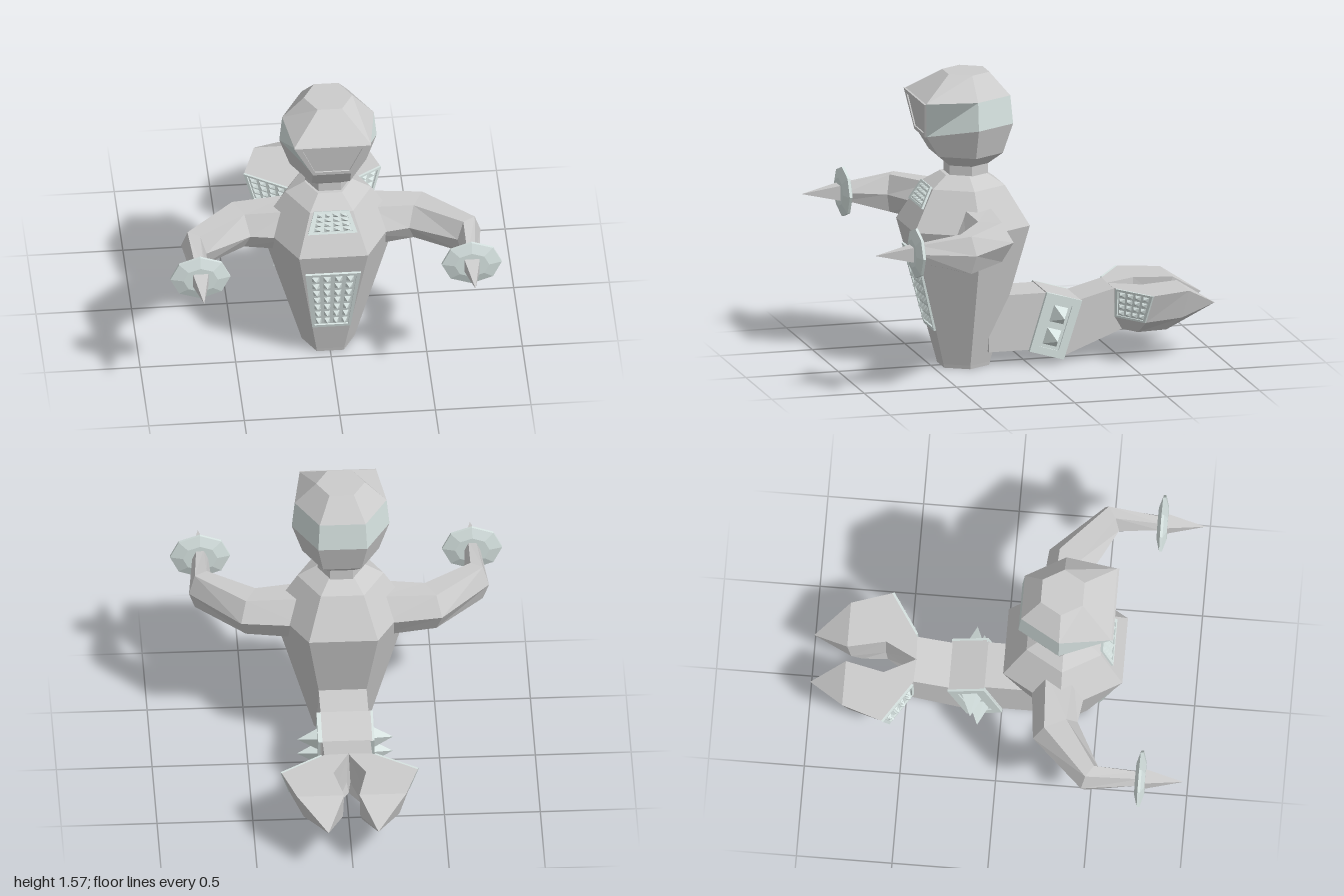
import * as THREE from 'three';

const V = (x, y, z) => new THREE.Vector3(x, y, z);
const grey = new THREE.MeshStandardMaterial({ color: 0xcccccc, flatShading: true });
const pale = new THREE.MeshStandardMaterial({ color: 0xd6e2e0, flatShading: true });

// Faceted geometry from a list of triangles, skipping collapsed ones
function fromTris(tris) {
  const pos = [];
  for (const t of tris) {
    if (new THREE.Triangle(...t).getArea() > 1e-7) t.forEach((p) => pos.push(p.x, p.y, p.z));
  }
  const g = new THREE.BufferGeometry();
  g.setAttribute('position', new THREE.Float32BufferAttribute(pos, 3));
  g.computeVertexNormals();
  return g;
}

// Skin over rings that run counter-clockwise as seen from the last ring
function loft(rings, caps) {
  const n = rings[0].length, tris = [];
  for (let r = 0; r < rings.length - 1; r++) {
    const a = rings[r], b = rings[r + 1];
    for (let i = 0; i < n; i++) {
      const j = (i + 1) % n;
      tris.push([a[i], a[j], b[j]], [a[i], b[j], b[i]]);
    }
  }
  caps = caps || Array.from({ length: n - 2 }, (_, i) => [0, i + 1, i + 2]);
  const first = rings[0], last = rings[rings.length - 1];
  for (const [i, j, k] of caps) tris.push([first[i], first[k], first[j]], [last[i], last[j], last[k]]);
  return fromTris(tris);
}

// Mirrored copy across x = 0 with the winding restored
function mirrored(geo) {
  const g = (geo.index ? geo.toNonIndexed() : geo.clone()), p = g.attributes.position;
  for (let i = 0; i < p.count; i += 3) {
    const t = [0, 2, 1].map((k) => [-p.getX(i + k), p.getY(i + k), p.getZ(i + k)]);
    t.forEach((q, k) => p.setXYZ(i + k, ...q));
  }
  g.computeVertexNormals();
  return g;
}

// Raised frame with a sunken floor and a grid of pyramids; corners bl, br, tr, tl
function studPanel(c, { cols = 0, rows = 0, inset = 0.08, insetV = inset, lift = 0.012, height = 0.02, size = 0.7 }) {
  const [bl, br, tr, tl] = c, tris = [];
  const n = br.clone().sub(bl).cross(tl.clone().sub(bl)).normalize();
  const at = (u, v, h) => bl.clone().lerp(br, u).lerp(tl.clone().lerp(tr, u), v).addScaledVector(n, h);
  const quad = (p, q, r, s) => tris.push([p, q, r], [p, r, s]);
  const rect = (u, v, h) => [at(u, v, h), at(1 - u, v, h), at(1 - u, 1 - v, h), at(u, 1 - v, h)];
  const floor = 0.003;
  const steps = [rect(0, 0, -0.01), rect(0, 0, lift), rect(inset, insetV, lift), rect(inset, insetV, floor)];
  for (let s = 0; s < 3; s++) {
    for (let i = 0; i < 4; i++) {
      const j = (i + 1) % 4;
      quad(steps[s][i], steps[s][j], steps[s + 1][j], steps[s + 1][i]);
    }
  }
  quad(...steps[3]);
  const du = (1 - 2 * inset) / cols, dv = (1 - 2 * insetV) / rows;
  for (let i = 0; i < cols; i++) {
    for (let j = 0; j < rows; j++) {
      const u = inset + (i + 0.5) * du, v = insetV + (j + 0.5) * dv;
      const a = du * size / 2, b = dv * size / 2, tip = at(u, v, height);
      const base = [at(u - a, v - b, floor), at(u + a, v - b, floor), at(u + a, v + b, floor), at(u - a, v + b, floor)];
      base.forEach((p, k) => tris.push([p, base[(k + 1) % 4], tip]));
    }
  }
  return fromTris(tris);
}

// Horizontal hexagon with flats to the front and back
const hex = (r, y, zc) => Array.from({ length: 6 }, (_, k) => {
  const t = Math.PI / 6 + k * Math.PI / 3;
  return V(r * Math.sin(t), y, zc + r * Math.cos(t));
});

// Upright hexagon across an arm, pointing along angle a in the xz plane
const armRing = (x, y, z, a, hw, hh) =>
  [[1, 0], [0.5, 1], [-0.5, 1], [-1, 0], [-0.5, -1], [0.5, -1]].map(([s, h]) =>
    V(x - s * hw * Math.sin(a) * -1, y + h * hh, z - s * hw * Math.cos(a)));

// Four-cornered ring across the tail
const tailRing = (w, yb, zb, yt, zt) => [V(-w, yb, zb), V(-w, yt, zt), V(w, yt, zt), V(w, yb, zb)];

export function createModel() {
  const model = new THREE.Group();
  const add = (name, geo, mat = grey) => {
    const m = new THREE.Mesh(geo, mat);
    m.name = name;
    model.add(m);
    return m;
  };
  const addPair = (name, geo, mat) => {
    add(name + 'Left', geo, mat);
    add(name + 'Right', mirrored(geo), mat);
  };

  // Torso and neck
  const bz = 0.325;
  add('torso', loft([[0.14, 0], [0.145, 0.02], [0.36, 0.76], [0.225, 0.97], [0.125, 1.03]].map(([r, y]) => hex(r, y, bz))));
  add('neck', loft([hex(0.12, 1.02, 0.31), hex(0.12, 1.09, 0.31)]));

  // Head, with the front corners drawn out into a visor
  const hz = 0.31;
  const rings = [[0.12, 1.08], [0.2, 1.14], [0.255, 1.3], [0.24, 1.45], [0.127, 1.57]].map(([r, y]) => hex(r, y, hz));
  rings[2][0] = V(0.1, 1.25, 0.55);
  rings[2][5] = V(-0.1, 1.25, 0.55);
  rings[3][0] = V(0.2, 1.45, 0.58);
  rings[3][5] = V(-0.2, 1.45, 0.58);
  add('jaw', loft(rings.slice(0, 3)));
  add('headBand', loft(rings.slice(2, 4)), pale);
  add('crown', loft(rings.slice(3)));
  add('visor', studPanel([rings[2][5], rings[2][0], rings[3][0], rings[3][5]], { inset: 0.09, insetV: 0.1, lift: 0.01 }));

  // Studded panels on the belly and chest
  const bellyZ = (y) => bz + 0.866 * (0.145 + 0.215 * (y - 0.02) / 0.74);
  const chestZ = (y) => bz + 0.866 * (0.36 - 0.135 * (y - 0.76) / 0.21);
  const front = (wb, yb, wt, yt, f) => [V(-wb, yb, f(yb)), V(wb, yb, f(yb)), V(wt, yt, f(yt)), V(-wt, yt, f(yt))];
  add('bellyPanel', studPanel(front(0.1, 0.21, 0.145, 0.635, bellyZ), { cols: 4, rows: 7, inset: 0.07, insetV: 0.04, size: 0.65, height: 0.025 }), pale);
  add('chestPanel', studPanel(front(0.13, 0.87, 0.092, 0.975, chestZ), { cols: 4, rows: 4, inset: 0.09, size: 0.75 }), pale);

  // Arms curving forward
  addPair('arm', loft([
    armRing(0.2, 0.755, 0.31, 0, 0.145, 0.125),
    armRing(0.47, 0.76, 0.31, 0.45, 0.125, 0.105),
    armRing(0.72, 0.765, 0.51, 1.0, 0.075, 0.1),
    armRing(0.71, 0.785, 0.77, Math.PI / 2, 0.04, 0.045),
  ]));

  // Guard discs and spikes at the wrists
  const disc = new THREE.LatheGeometry([[0, -0.026], [0.09, -0.026], [0.157, -0.007], [0.157, 0.007], [0.09, 0.026], [0, 0.026]]
    .map(([x, y]) => new THREE.Vector2(x, y)), 8);
  disc.rotateX(Math.PI / 2).scale(1, 0.84, 1).translate(0.71, 0.785, 0.775);
  addPair('wristGuard', disc, pale);
  const spike = new THREE.ConeGeometry(0.062, 0.22, 4).rotateY(Math.PI / 4).rotateX(Math.PI / 2).translate(0.71, 0.785, 0.89);
  addPair('wristSpike', spike, grey);

  // Tail segments
  add('tailBase', loft([tailRing(0.125, 0.08, 0.22, 0.38, 0.22), tailRing(0.125, 0.08, -0.01, 0.38, -0.09)]));
  add('tailMiddle', loft([tailRing(0.135, 0.075, 0.005, 0.385, -0.09), tailRing(0.135, 0.02, -0.18, 0.33, -0.28)]));
  add('tailEnd', loft([tailRing(0.125, 0.03, -0.17, 0.33, -0.27), tailRing(0.125, 0.16, -0.5, 0.38, -0.46)]));
  const w = 0.135;
  addPair('tailSpikePanel', studPanel([V(w, 0.075, 0.005), V(w, 0.02, -0.18), V(w, 0.33, -0.28), V(w, 0.385, -0.09)],
    { cols: 1, rows: 2, inset: 0.22, insetV: 0.12, height: 0.115, size: 0.72 }), pale);

  // Pincer claws, three outlines stacked and meeting at the tip
  const tip = V(0.13, 0.27, -1);
  const outline = (y, pts) => pts.map((p) => (p ? V(p[0], y, p[1]) : tip));
  const low = outline(0.16, [[0, -0.5], [0.125, -0.5], [0.22, -0.56], [0.2, -0.72], null, [0.06, -0.74], [0.07, -0.61]]);
  const mid = outline(0.23, [[0, -0.47], [0.125, -0.46], [0.31, -0.58], [0.25, -0.79], null, [0.045, -0.8], [0.08, -0.62]]);
  const top = outline(0.38, [[0, -0.455], [0.125, -0.46], [0.355, -0.61], [0.285, -0.82], null, [0.04, -0.82], [0.085, -0.62]]);
  addPair('claw', loft([low, mid, top], [[6, 0, 1], [6, 1, 2], [6, 2, 3], [6, 3, 5], [5, 3, 4]]));
  addPair('clawPanel', studPanel([
    mid[1].clone().lerp(mid[2], 0.05), mid[2], top[2], top[1].clone().lerp(top[2], 0.05),
  ], { cols: 4, rows: 4, inset: 0.07, size: 0.75 }), pale);

  return model;
}
